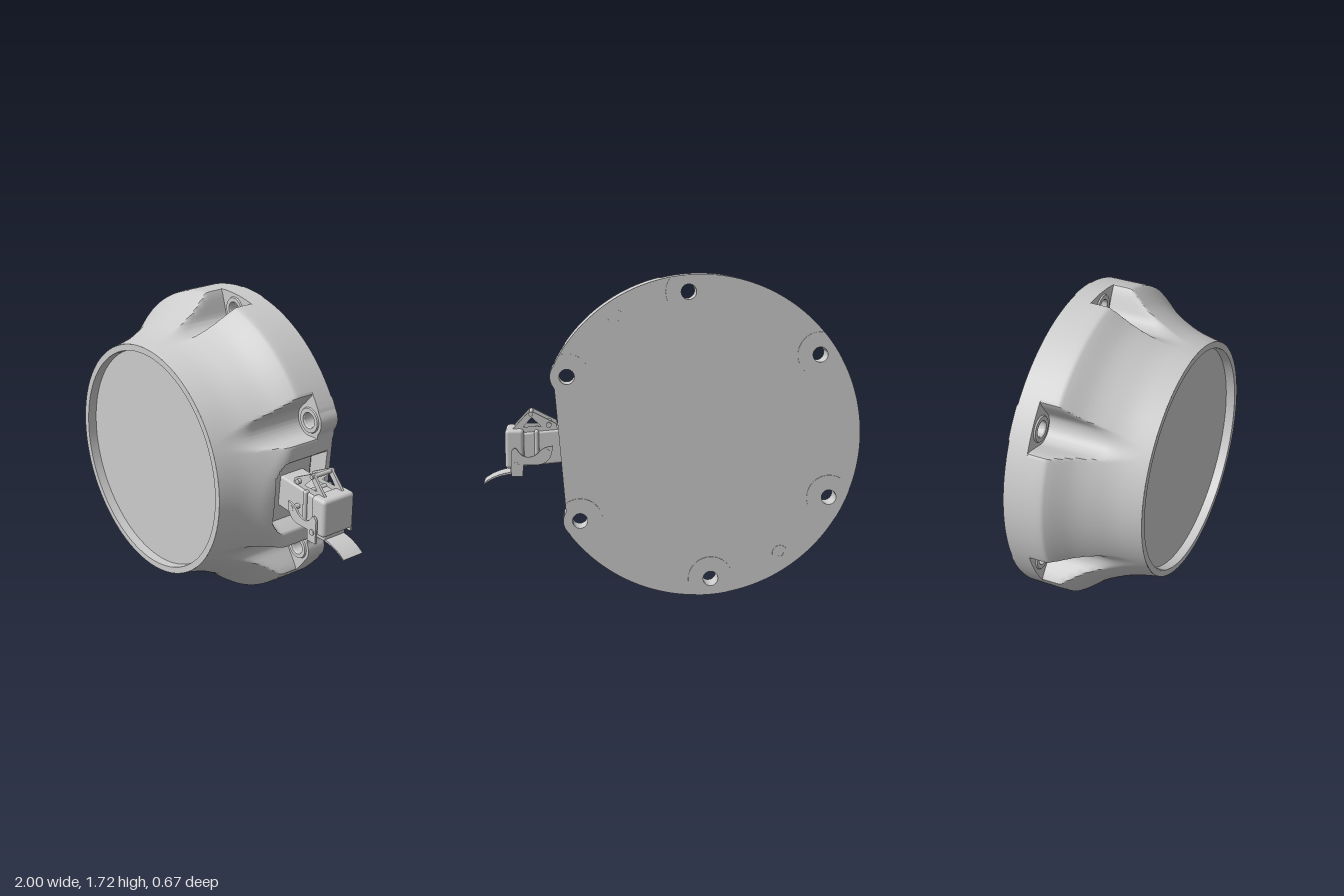
import * as THREE from 'three';
import { toCreasedNormals } from 'three/addons/utils/BufferGeometryUtils.js';
import { RoundedBoxGeometry } from 'three/addons/geometries/RoundedBoxGeometry.js';

const R = 0.858, BOLT_R = 0.77, FLAT = 0.736, FLAT_ANGLE = -4.5 * Math.PI / 180;
const rad = Math.PI / 180;
const bolts = [0, 1, 2, 3, 4, 5].map(i => (25.5 + 60 * i) * rad);
const mat = new THREE.MeshStandardMaterial({ color: 0xcccccc });

// smooth minimum, blends two surfaces with a fillet
const smin = (a, b, k) => {
  const h = Math.max(k - Math.abs(a - b), 0) / k;
  return Math.min(a, b) - h * h * k / 4;
};
const wrap = a => Math.atan2(Math.sin(a), Math.cos(a));
const nearestBolt = t => Math.min(...bolts.map(b => Math.abs(wrap(t - b))));

// radius of the flat side in direction t
const flatRadius = (t, d = FLAT) => {
  const c = Math.cos(t - FLAT_ANGLE);
  return c > 0.3 ? d / c : 9;
};

// radius of the inner wall of the bolt pockets
function pocketRadius(t) {
  const d = nearestBolt(t), x = BOLT_R * Math.sin(d);
  if (d > 0.4) return 9;
  const xs = Math.min(x, 0.08);
  return Math.sqrt(BOLT_R ** 2 - xs * xs) - Math.sqrt(0.09 ** 2 - xs * xs) + (x - xs) * 4;
}

// push the surface in where the latch opening lies
function dent(r, t, z) {
  const d = wrap(t - FLAT_ANGLE);
  if (Math.abs(d) > 0.5 || z > 0.03) return r;
  const u = Math.max(0, (z + 0.04) / 0.07);
  const h = 0.205 - 0.085 * u * u;
  const s = THREE.MathUtils.smoothstep(Math.abs(FLAT * Math.tan(d)), h - 0.007, h + 0.007);
  return THREE.MathUtils.lerp(Math.min(r, flatRadius(t, 0.62)), r, s);
}

// outline of the base plate: circle, flat side, round bolt corners
function plateRadius(t) {
  const d = nearestBolt(t), x = BOLT_R * Math.sin(d);
  const corner = d < 0.2 && x < 0.088 ? BOLT_R * Math.cos(d) + Math.sqrt(0.088 ** 2 - x * x) : 0;
  return Math.max(smin(R, flatRadius(t), 0.02), corner);
}

const polar = (r, t) => new THREE.Vector2(r * Math.cos(t), r * Math.sin(t));

function add(group, name, geometry, x = 0, y = 0, z = 0) {
  const mesh = new THREE.Mesh(geometry, mat);
  mesh.name = name;
  mesh.position.set(x, y, z);
  group.add(mesh);
  return mesh;
}

function extrude(shape, depth) {
  return toCreasedNormals(new THREE.ExtrudeGeometry(shape, { depth, bevelEnabled: false, curveSegments: 24 }), 0.6);
}

const lathe = pts => toCreasedNormals(
  new THREE.LatheGeometry(pts.map(p => new THREE.Vector2(...p)), 96).rotateX(Math.PI / 2), 0.5);

// flared shell with bolt pockets, from polar cross-sections
function shellGeometry() {
  const profile = new THREE.SplineCurve([[-0.22, 0.858], [-0.13, 0.856], [-0.1, 0.843], [0, 0.765],
    [0.1, 0.712], [0.2, 0.674], [0.33, 0.645]].map(p => new THREE.Vector2(...p)));
  const rows = 52, cols = 600, pos = [], index = [];
  profile.getSpacedPoints(rows).forEach(({ x: z, y: r0 }, j) => {
    for (let i = 0; i < cols; i++) {
      const t = i / cols * Math.PI * 2;
      let r = smin(r0, flatRadius(t), 0.03);
      r = dent(smin(r, pocketRadius(t), 0.03), t, z);
      pos.push(r * Math.cos(t), r * Math.sin(t), z);
      if (j === rows) continue;
      const a = j * cols + i, b = j * cols + (i + 1) % cols;
      index.push(a, b, b + cols, a, b + cols, a + cols);
    }
  });
  const g = new THREE.BufferGeometry();
  g.setAttribute('position', new THREE.Float32BufferAttribute(pos, 3));
  g.setIndex(index);
  return toCreasedNormals(g, 0.7);
}

// plate layer with bolt holes
function plateGeometry(radius, depth) {
  const pts = [];
  for (let i = 0; i < 600; i++) {
    const t = i / 600 * Math.PI * 2;
    pts.push(polar(radius(t), t));
  }
  const shape = new THREE.Shape(pts);
  for (const b of bolts) {
    const c = polar(BOLT_R, b);
    shape.holes.push(new THREE.Path().absarc(c.x, c.y, 0.04, 0, Math.PI * 2, true));
  }
  return extrude(shape, depth);
}

// thin pad round a bolt hole, trimmed to the plate outline
function padGeometry(b) {
  const c = polar(BOLT_R, b), pts = [];
  for (let i = 0; i < 64; i++) {
    const p = polar(0.12, i / 64 * Math.PI * 2).add(c);
    p.setLength(Math.min(p.length(), plateRadius(p.angle())));
    pts.push(p);
  }
  const shape = new THREE.Shape(pts);
  shape.holes.push(new THREE.Path().absarc(c.x, c.y, 0.04, 0, Math.PI * 2, true));
  return extrude(shape, 0.005);
}

function createHousing() {
  const g = new THREE.Group();
  g.name = 'housing';
  g.position.set(-0.143, 0.863, 0);
  add(g, 'shell', shellGeometry());
  add(g, 'frontRimAndWindow', lathe([[0.645, 0.33], [0.61, 0.33], [0.608, 0.28], [0, 0.28]]));
  add(g, 'backPlate', plateGeometry(plateRadius, 0.03), 0, 0, -0.33);
  add(g, 'middlePlate', plateGeometry(t => dent(plateRadius(t), t, -0.25), 0.08), 0, 0, -0.3);
  const washer = lathe([[0.07, 0], [0.066, 0.008], [0.044, 0.008], [0.04, 0]]);
  for (const b of bolts) {
    const c = polar(BOLT_R, b);
    add(g, 'boltSeat', washer, c.x, c.y, -0.22);
    add(g, 'backPad', padGeometry(b), 0, 0, -0.335);
  }
  // two small locating rings on the back
  const ring = new THREE.Shape().absarc(0, 0, 0.042, 0, Math.PI * 2);
  ring.holes.push(new THREE.Path().absarc(0, 0, 0.018, 0, Math.PI * 2, true));
  for (const a of [55.5, 235.5]) {
    const c = polar(BOLT_R, a * rad);
    add(g, 'locatingRing', extrude(ring, 0.005), c.x, c.y, -0.335);
  }
  return g;
}

function createLatch() {
  const g = new THREE.Group(), Z = -0.145;
  g.name = 'latch';
  const box = (name, w, h, d, x, y, z = Z, r = 0.012) =>
    add(g, name, new RoundedBoxGeometry(w, h, d, 3, r), x, y, z);
  const pin = (name, x, y, r, len) =>
    add(g, name, new THREE.CylinderGeometry(r, r, len, 20).rotateX(Math.PI / 2), x, y, Z);
  const V = list => list.map(p => new THREE.Vector2(...p));

  box('mountPlate', 0.03, 0.35, 0.26, 0.49, 0.805).rotation.z = FLAT_ANGLE;
  box('latchArm', 0.32, 0.18, 0.16, 0.64, 0.805).rotation.z = FLAT_ANGLE;
  box('latchHead', 0.1, 0.21, 0.21, 0.832, 0.8, Z, 0.02);
  box('latchBand', 0.025, 0.19, 0.19, 0.715, 0.805);
  box('headFoot', 0.065, 0.06, 0.15, 0.825, 0.69);

  // curved side hooks
  const hook = new THREE.Shape(V([[0.63, 0.82]]));
  hook.moveTo(0.63, 0.82);
  hook.quadraticCurveTo(0.635, 0.72, 0.72, 0.72);
  hook.lineTo(0.785, 0.72);
  hook.lineTo(0.79, 0.66);
  hook.lineTo(0.85, 0.66);
  hook.lineTo(0.85, 0.79);
  hook.quadraticCurveTo(0.83, 0.83, 0.81, 0.79);
  hook.quadraticCurveTo(0.77, 0.74, 0.71, 0.78);
  hook.quadraticCurveTo(0.68, 0.82, 0.63, 0.82);
  for (const s of [-1, 1]) add(g, 'sideHook', extrude(hook, 0.012), 0, 0, Z + s * 0.122 - 0.006);

  // triangular ears with their pins
  const ear = new THREE.Shape(V([[0.6, 0.88], [0.61, 0.93], [0.735, 0.995], [0.755, 0.995], [0.84, 0.905], [0.83, 0.88]]));
  ear.holes.push(new THREE.Path(V([[0.69, 0.915], [0.74, 0.965], [0.785, 0.915]])));
  for (const s of [-1, 1]) add(g, 'ear', extrude(ear, 0.014), 0, 0, Z + s * 0.06 - 0.007);
  pin('earPin', 0.745, 0.983, 0.012, 0.15);
  pin('armPin', 0.65, 0.925, 0.014, 0.17);
  pin('hookPin', 0.825, 0.72, 0.016, 0.27);
  pin('pivotPin', 0.66, 0.79, 0.014, 0.26);

  // curved release tab
  const tab = new THREE.Shape();
  tab.moveTo(0.8, 0.66);
  tab.quadraticCurveTo(0.92, 0.665, 0.996, 0.608);
  tab.lineTo(1.0, 0.614);
  tab.quadraticCurveTo(0.92, 0.675, 0.8, 0.672);
  add(g, 'releaseTab', extrude(tab, 0.13), 0, 0, Z - 0.065);
  return g;
}

export function createModel() {
  const model = new THREE.Group();
  model.name = 'lampHousing';
  model.add(createHousing(), createLatch());
  return model;
}
